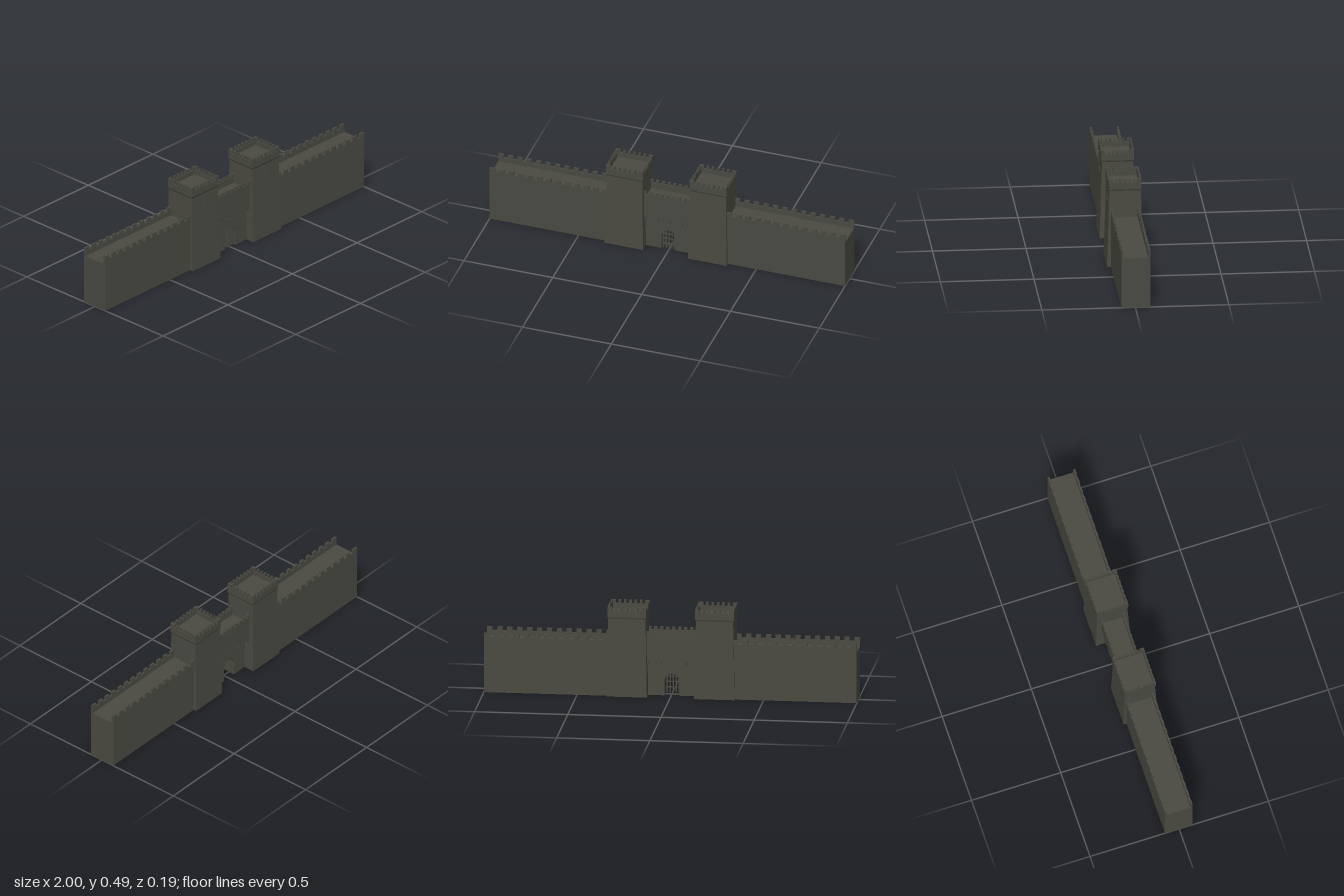
import * as THREE from 'three';

const stone = new THREE.MeshStandardMaterial({ color: 0x4a4a42, side: THREE.DoubleSide });
stone.name = 'darkStone';

function add(parent, name, geometry, x = 0, y = 0, z = 0) {
  const mesh = new THREE.Mesh(geometry, stone);
  mesh.name = name;
  mesh.position.set(x, y, z);
  parent.add(mesh);
  return mesh;
}

const extrude = (shape, depth) =>
  new THREE.ExtrudeGeometry(shape, { depth, bevelEnabled: false, curveSegments: 8 });

// Box given by its limits
function block(parent, name, x0, x1, y0, y1, z0, z1) {
  return add(parent, name, new THREE.BoxGeometry(x1 - x0, y1 - y0, z1 - z0),
    (x0 + x1) / 2, (y0 + y1) / 2, (z0 + z1) / 2);
}

// Upright panel with battlements, centred in x, lying between z = 0 and z = thick
function battlement(width, y0, sill, top, gaps, gapWidth, endWidth, thick) {
  const s = new THREE.Shape();
  const h = width / 2;
  const merlon = gaps > 1 ? (width - 2 * endWidth - gaps * gapWidth) / (gaps - 1) : 0;
  s.moveTo(-h, y0);
  s.lineTo(-h, top);
  for (let i = 0; i < gaps; i++) {
    const x = -h + endWidth + i * (gapWidth + merlon);
    s.lineTo(x, top);
    s.lineTo(x, sill);
    s.lineTo(x + gapWidth, sill);
    s.lineTo(x + gapWidth, top);
  }
  s.lineTo(h, top);
  s.lineTo(h, y0);
  return extrude(s, thick);
}

// Four-sided block whose bottom and top rectangles [x0, x1, z0, z1] differ
function frustum(bottom, top, y0, y1) {
  const g = new THREE.BoxGeometry(1, 1, 1);
  const p = g.attributes.position;
  for (let i = 0; i < p.count; i++) {
    const up = p.getY(i) > 0;
    const r = up ? top : bottom;
    p.setXYZ(i, p.getX(i) < 0 ? r[0] : r[1], up ? y1 : y0, p.getZ(i) < 0 ? r[2] : r[3]);
  }
  g.computeVertexNormals();
  return g;
}

// Round-headed outline standing on y
function archPath(path, x, y, halfWidth, height) {
  path.moveTo(x - halfWidth, y);
  path.lineTo(x - halfWidth, y + height - halfWidth);
  path.absarc(x, y + height - halfWidth, halfWidth, Math.PI, 0, true);
  path.lineTo(x + halfWidth, y);
  path.closePath();
  return path;
}

// Curtain wall: hollow below, walkway between two parapets
function makeWall(name, x0, x1, outerX) {
  const wall = new THREE.Group();
  wall.name = name;
  const mid = (x0 + x1) / 2;
  const side = battlement(x1 - x0, 0, 0.305, 0.325, 12, 0.025, 0.03, 0.011);
  add(wall, 'frontWall', side, mid, 0, 0.064);
  add(wall, 'backWall', side, mid, 0, -0.08);
  block(wall, 'walkway', x0, x1, 0.27, 0.277, -0.07, 0.065);
  const inner = outerX - Math.sign(outerX) * 0.006;
  block(wall, 'endWall', Math.min(outerX, inner), Math.max(outerX, inner), 0, 0.277, -0.07, 0.065);
  return wall;
}

// Tapered gate tower with an overhanging crown
function makeTower(name, x) {
  const tower = new THREE.Group();
  tower.name = name;
  tower.position.x = x;
  const neck = [-0.1, 0.1, -0.087, 0.082];
  const crown = [-0.104, 0.104, -0.09, 0.086];
  add(tower, 'shaft', frustum([-0.108, 0.108, -0.096, 0.096], neck, 0, 0.426));
  add(tower, 'corbelBand', frustum(neck, crown, 0.426, 0.435));
  block(tower, 'roofDeck', -0.1, 0.1, 0.435, 0.445, -0.086, 0.082);

  const wide = battlement(0.208, 0.435, 0.471, 0.491, 6, 0.015, 0.025, 0.01);
  const deep = battlement(0.176, 0.435, 0.471, 0.491, 6, 0.0125, 0.0235, 0.01);
  add(tower, 'frontParapet', wide, 0, 0, 0.076);
  add(tower, 'backParapet', wide, 0, 0, -0.09);
  add(tower, 'leftParapet', deep, 0.094, 0, -0.002).rotation.y = Math.PI / 2;
  add(tower, 'rightParapet', deep, -0.104, 0, -0.002).rotation.y = Math.PI / 2;

  // Small arched window surround
  const frame = archPath(new THREE.Shape(), 0, 0.343, 0.01, 0.032);
  frame.holes.push(archPath(new THREE.Path(), 0, 0.348, 0.005, 0.021));
  add(tower, 'windowFrame', extrude(frame, 0.008), 0, 0, 0.08);
  return tower;
}

function makeGatehouse(x0, x1) {
  const gate = new THREE.Group();
  gate.name = 'gatehouse';
  const mid = (x0 + x1) / 2;
  const width = x1 - x0;

  // Recessed lower wall with the arched passage
  const lower = new THREE.Shape();
  lower.moveTo(x0, 0);
  lower.lineTo(x0, 0.22);
  lower.lineTo(x1, 0.22);
  lower.lineTo(x1, 0);
  lower.lineTo(mid + 0.04, 0);
  lower.lineTo(mid + 0.04, 0.08);
  lower.absarc(mid, 0.08, 0.04, 0, Math.PI, false);
  lower.lineTo(mid - 0.04, 0);
  add(gate, 'lowerWall', extrude(lower, 0.08), 0, 0, -0.035);

  // Overhanging upper wall carried on small arches
  const upper = new THREE.Shape();
  const arches = 4;
  const step = width / arches;
  upper.moveTo(x0, 0.302);
  upper.lineTo(x0, 0.175);
  for (let i = 0; i < arches; i++) {
    const c = x0 + (i + 0.5) * step;
    upper.lineTo(c - 0.021, 0.175);
    upper.lineTo(c - 0.021, 0.182);
    upper.absarc(c, 0.182, 0.021, Math.PI, 0, true);
    upper.lineTo(c + 0.021, 0.175);
  }
  upper.lineTo(x1, 0.175);
  upper.lineTo(x1, 0.302);
  add(gate, 'upperWall', extrude(upper, 0.127), 0, 0, -0.064);

  const parapet = battlement(width, 0.302, 0.338, 0.355, 8, 0.014, 0.016, 0.01);
  add(gate, 'frontParapet', parapet, mid, 0, 0.053);
  add(gate, 'backParapet', parapet, mid, 0, -0.064);

  // Portcullis bars within the arch
  for (let i = -2; i <= 2; i++) {
    const x = mid + i * 0.016;
    const top = 0.08 + Math.sqrt(0.04 ** 2 - (i * 0.016) ** 2);
    block(gate, 'verticalBar', x - 0.0035, x + 0.0035, 0, top, 0.03, 0.036);
  }
  for (const y of [0.03, 0.06, 0.09]) {
    block(gate, 'crossBar', mid - 0.039, mid + 0.039, y - 0.003, y + 0.003, 0.031, 0.035);
  }
  return gate;
}

export function createModel() {
  const model = new THREE.Group();
  model.name = 'castleGate';
  model.add(
    makeWall('rightWall', -1, -0.335, -1),
    makeWall('leftWall', 0.33, 1, 1),
    makeTower('rightTower', -0.238),
    makeTower('leftTower', 0.232),
    makeGatehouse(-0.138, 0.132),
  );
  return model;
}
